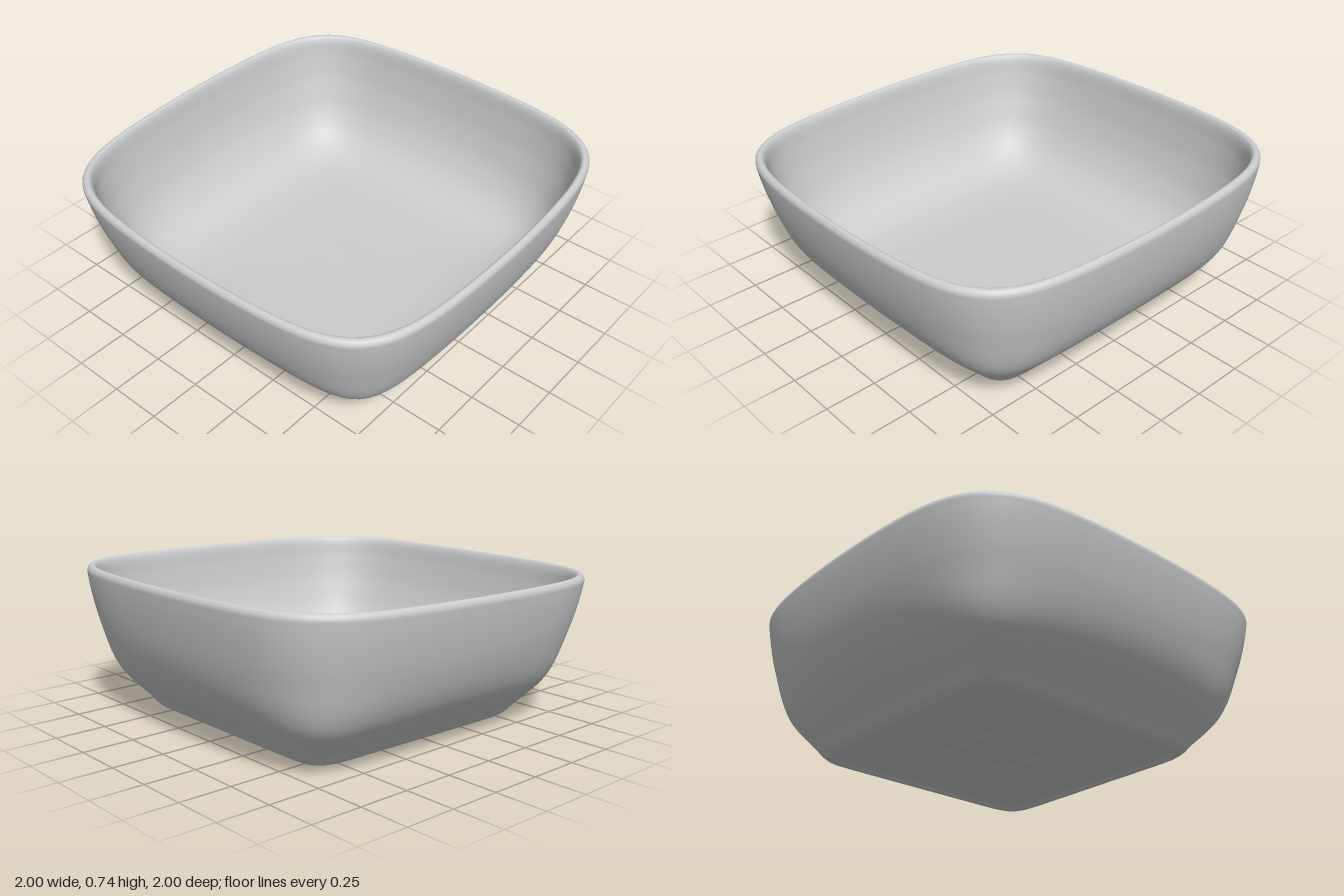
import * as THREE from 'three';

const SEGMENTS = 160;

// Sweeps a profile of [halfWidth, height, squareness] through rounded-square rings.
// The order of points runs from the underside centre outwards, up, over the rim and inwards.
function squareLoft(name, profile, steps, material) {
  const curve = new THREE.CatmullRomCurve3(
    profile.map(([w, y, n]) => new THREE.Vector3(w, y, 1 / n)), false, 'centripetal');
  const positions = [];
  const indices = [];
  for (let i = 0; i <= steps; i++) {
    const p = curve.getPoint(i / steps);
    const n = 1 / p.z;
    const shift = 0.025 * (1 - p.y / 0.7);
    // Sides are straight at the foot and bow outwards towards the rim
    const bow = 0.075 * THREE.MathUtils.smoothstep(p.y, 0, 0.45);
    for (let j = 0; j < SEGMENTS; j++) {
      const a = (j / SEGMENTS) * Math.PI * 2;
      const c = Math.cos(a), s = Math.sin(a);
      const r = Math.pow(Math.abs(c) ** n + Math.abs(s) ** n, -1 / n);
      const x = p.x * c * r * (1 - bow * (s * r) ** 2);
      const z = p.x * s * r * (1 - bow * (c * r) ** 2);
      // Slight hand-made lean: the bowl rises towards +x and a little to the back
      const y = p.y + x * (0.014 + 0.018 * p.y) - z * 0.014 * p.y;
      positions.push(x + shift, y, z);
      if (i < steps) {
        const k = (j + 1) % SEGMENTS;
        const A = i * SEGMENTS + j, B = i * SEGMENTS + k;
        indices.push(A, A + SEGMENTS, B, B, A + SEGMENTS, B + SEGMENTS);
      }
    }
  }
  const geometry = new THREE.BufferGeometry();
  geometry.setAttribute('position', new THREE.Float32BufferAttribute(positions, 3));
  geometry.setIndex(indices);
  geometry.computeVertexNormals();
  const mesh = new THREE.Mesh(geometry, material);
  mesh.name = name;
  return mesh;
}

export function createModel() {
  const group = new THREE.Group();
  group.name = 'squareBowl';
  const glaze = new THREE.MeshStandardMaterial({ color: 0xcccdce });
  glaze.name = 'pale grey glaze';

  // Outer wall, rounded rim and inner wall down to the floor
  group.add(squareLoft('bowlBody', [
    [0.632, 0.012, 12], [0.655, 0.03, 11], [0.69, 0.07, 10], [0.76, 0.135, 8.5],
    [0.832, 0.21, 7.5], [0.89, 0.3, 7], [0.94, 0.42, 6.8], [0.975, 0.55, 6.6],
    [0.995, 0.66, 6.5], [0.997, 0.693, 6.5], [0.985, 0.711, 6.5], [0.97, 0.711, 6.5],
    [0.958, 0.69, 6.5], [0.945, 0.6, 6.5], [0.915, 0.45, 6.5], [0.86, 0.31, 6.5],
    [0.77, 0.19, 6.5], [0.66, 0.12, 6.5], [0.52, 0.09, 6.5], [0.3, 0.082, 6.5], [0, 0.08, 6.5],
  ], 120, glaze));

  // Recessed underside with a low foot edge
  group.add(squareLoft('footUnderside', [
    [0, 0.026, 10], [0.3, 0.026, 10], [0.575, 0.026, 12], [0.595, 0.022, 12],
    [0.606, 0.012, 12], [0.618, 0.009, 12], [0.632, 0.012, 12],
  ], 36, glaze));

  // Small raised square ring in the middle of the underside
  group.add(squareLoft('undersideRing', [
    [0.14, 0.028, 9], [0.152, 0.019, 9], [0.175, 0.015, 8],
    [0.195, 0.015, 8], [0.215, 0.019, 8], [0.228, 0.028, 8],
  ], 20, glaze));

  return group;
}
